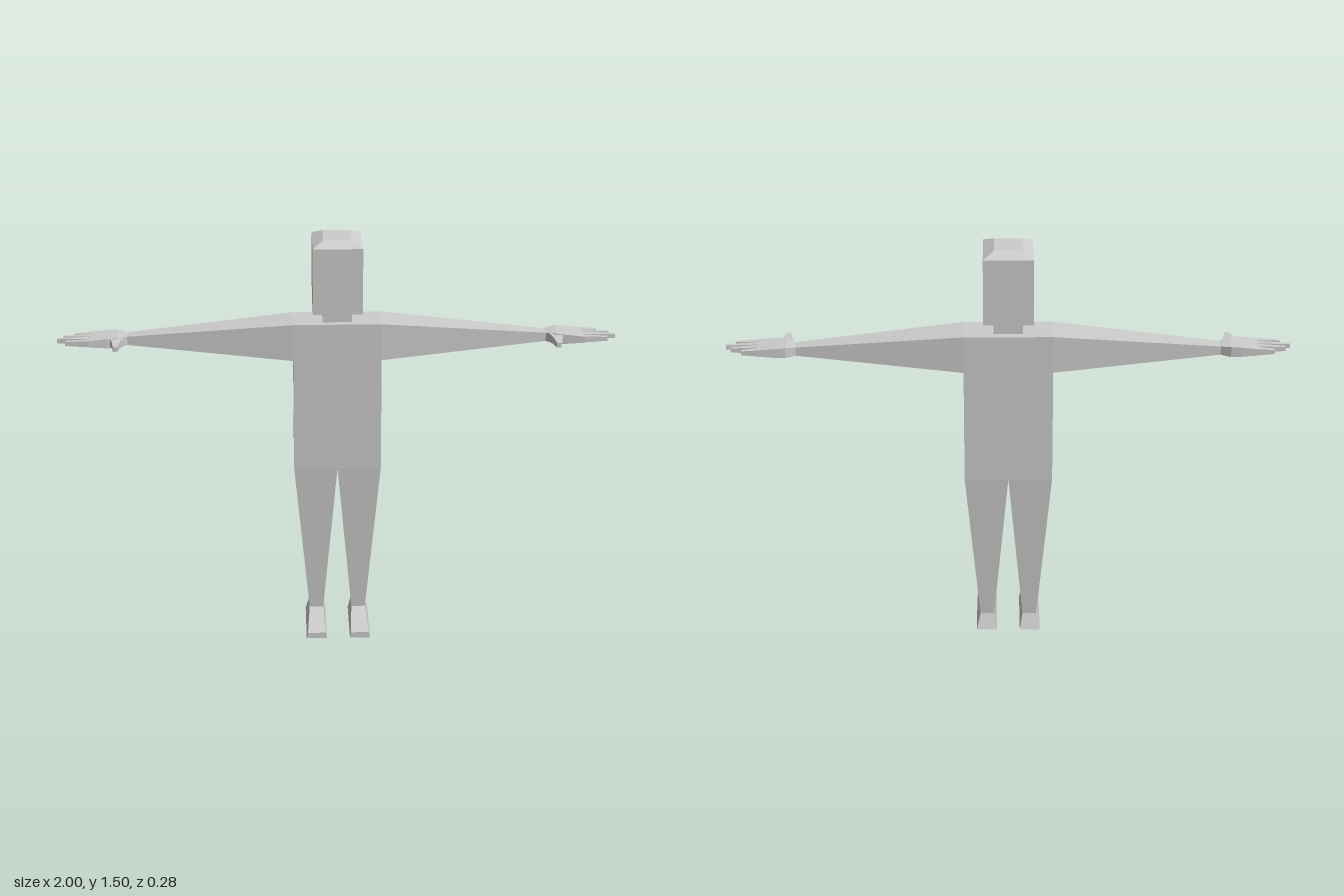
import * as THREE from 'three';

const grey = new THREE.MeshStandardMaterial({ color: 0xcccccc, flatShading: true });
grey.name = 'plain grey';

// Rectangular cross-sections across each axis
const ringY = (y, x0, x1, z0, z1) => [[x0, y, z0], [x1, y, z0], [x1, y, z1], [x0, y, z1]].map(p => new THREE.Vector3(...p));
const ringX = (x, y0, y1, z0, z1) => [[x, y0, z0], [x, y1, z0], [x, y1, z1], [x, y0, z1]].map(p => new THREE.Vector3(...p));
const ringZ = (z, x0, x1, y0, y1) => [[x0, y0, z], [x1, y0, z], [x1, y1, z], [x0, y1, z]].map(p => new THREE.Vector3(...p));

// Joins four-cornered rings into a faceted mesh, with optional end caps
function loft(name, rings, capStart = true, capEnd = true) {
  const first = rings[0], last = rings[rings.length - 1];
  const normal = first[1].clone().sub(first[0]).cross(first[2].clone().sub(first[0]));
  const along = last[0].clone().add(last[2]).sub(first[0]).sub(first[2]);
  const loops = normal.dot(along) > 0 ? rings : rings.map(r => [...r].reverse());
  const points = [];
  const quad = (a, b, c, d) => points.push(a, b, c, a, c, d);
  for (let k = 0; k < loops.length - 1; k++) {
    const p = loops[k], q = loops[k + 1];
    for (let i = 0; i < 4; i++) {
      const j = (i + 1) % 4;
      quad(p[i], p[j], q[j], q[i]);
    }
  }
  if (capStart) quad(...[...loops[0]].reverse());
  if (capEnd) quad(...loops[loops.length - 1]);
  const geometry = new THREE.BufferGeometry().setFromPoints(points);
  geometry.computeVertexNormals();
  const mesh = new THREE.Mesh(geometry, grey);
  mesh.name = name;
  return mesh;
}

// Palm, four fingers and thumb; s is the side (+1 left, -1 right)
function makeHand(s) {
  const hand = new THREE.Group();
  hand.name = s > 0 ? 'leftHand' : 'rightHand';
  hand.add(loft('palm', [
    ringX(s * 0.75, 1.102, 1.133, -0.072, -0.02),
    ringX(s * 0.785, 1.1, 1.138, -0.09, 0.008),
    ringX(s * 0.82, 1.102, 1.136, -0.092, 0.014),
    ringX(s * 0.885, 1.107, 1.13, -0.092, 0.018),
  ], false, true));
  // Fingers from little to index: tip x and tip z
  [[0.94, -0.082], [0.98, -0.055], [1.0, -0.028], [0.968, 0.004]].forEach(([tip, z], i) => {
    const base = -0.079 + i * 0.0277;
    hand.add(loft('finger', [
      ringX(s * 0.88, 1.107, 1.13, base - 0.012, base + 0.012),
      ringX(s * tip, 1.111, 1.126, z - 0.007, z + 0.007),
    ], false, true));
  });
  const span = (a, b) => [Math.min(s * a, s * b), Math.max(s * a, s * b)];
  hand.add(loft('thumb', [
    ringZ(-0.01, ...span(0.76, 0.82), 1.103, 1.136),
    ringZ(0.025, ...span(0.77, 0.802), 1.107, 1.133),
    ringZ(0.077, ...span(0.778, 0.794), 1.111, 1.128),
  ], false, true));
  return hand;
}

// Tapered leg and wedge foot
function makeLeg(s) {
  const leg = new THREE.Group();
  leg.name = s > 0 ? 'leftLeg' : 'rightLeg';
  const ring = (y, inner, outer, z0, z1) => ringY(y, Math.min(s * inner, s * outer), Math.max(s * inner, s * outer), z0, z1);
  const ankle = ring(0.058, 0.053, 0.104, -0.083, 0);
  leg.add(loft('shin', [ankle, ring(0.635, 0, 0.158, -0.116, 0.031)], false, false));
  leg.add(loft('foot', [
    ring(0, 0.043, 0.118, -0.106, 0.145),
    ring(0.022, 0.047, 0.113, -0.097, 0.145),
    ankle,
  ], true, false));
  return leg;
}

export function createModel() {
  const model = new THREE.Group();
  model.name = 'figure';

  // Torso, with shoulders and arms running across the top
  model.add(loft('torso', [
    ringY(0.635, -0.158, 0.158, -0.116, 0.031),
    ringY(1.053, -0.158, 0.158, -0.116, 0.031),
  ], false, false));
  model.add(loft('shouldersAndArms', [
    ringX(-0.75, 1.102, 1.133, -0.072, -0.02),
    ringX(-0.158, 1.053, 1.188, -0.116, 0.031),
    ringX(0.158, 1.053, 1.188, -0.116, 0.031),
    ringX(0.75, 1.102, 1.133, -0.072, -0.02),
  ], false, false));

  // Neck and bevelled box head
  model.add(loft('neck', [
    ringY(1.18, -0.052, 0.052, -0.086, 0.003),
    ringY(1.23, -0.052, 0.052, -0.086, 0.003),
  ], false, false));
  model.add(loft('head', [
    ringY(1.225, -0.052, 0.052, -0.086, 0.003),
    ringY(1.242, -0.088, 0.088, -0.14, 0.081),
    ringY(1.48, -0.088, 0.088, -0.14, 0.081),
    ringY(1.5, -0.05, 0.05, -0.094, 0.034),
  ], false, true));

  for (const s of [1, -1]) model.add(makeHand(s), makeLeg(s));
  return model;
}
